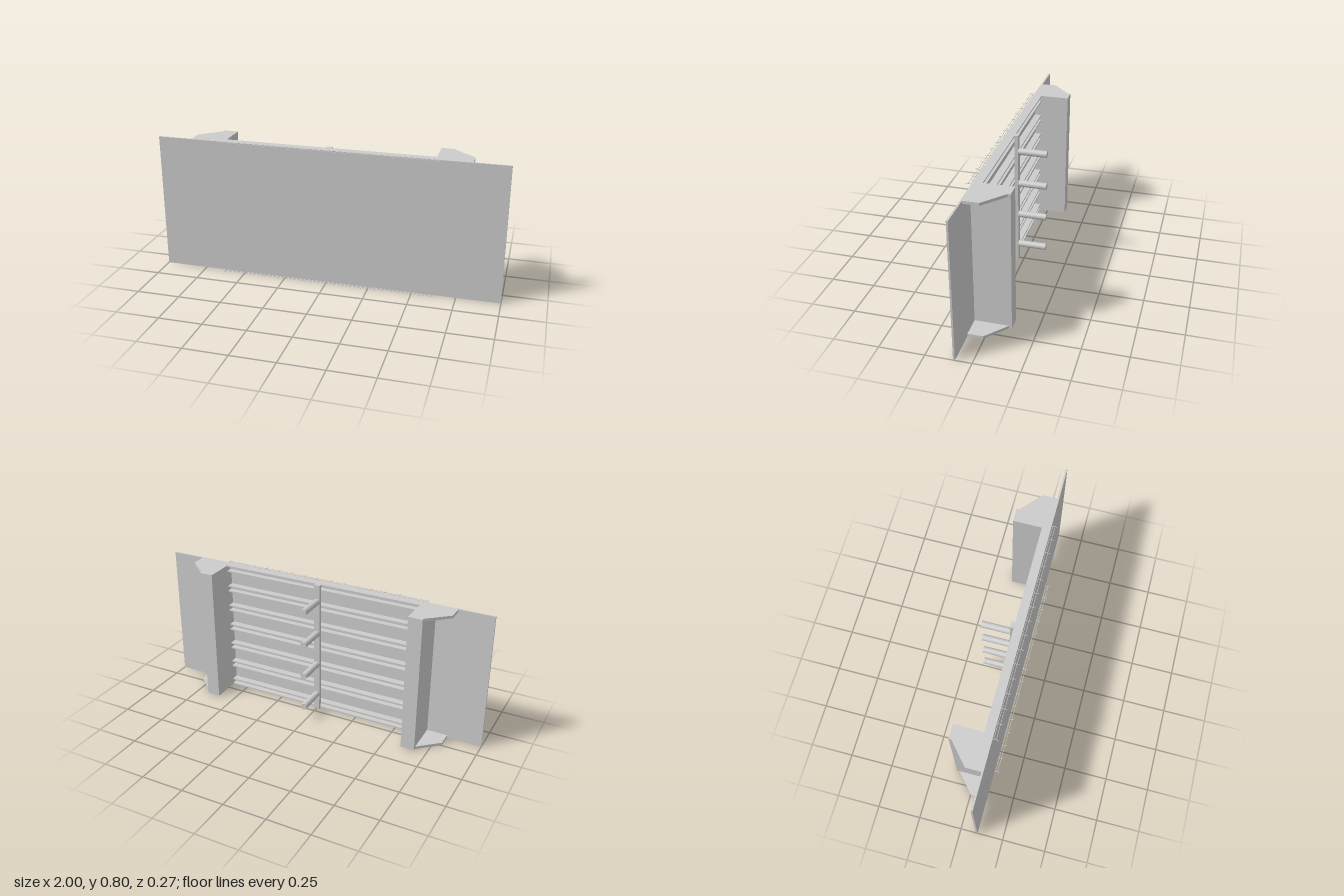
import * as THREE from 'three';

const material = new THREE.MeshStandardMaterial({ color: 0xcccccc });
const H = 0.8;

export function createModel() {
  const model = new THREE.Group();

  function add(name, geometry, x = 0, y = 0, z = 0) {
    const mesh = new THREE.Mesh(geometry, material);
    mesh.name = name;
    mesh.position.set(x, y, z);
    model.add(mesh);
    return mesh;
  }

  // box given by its lower and upper limits
  function box(name, x0, x1, y0, y1, z0, z1) {
    return add(name, new THREE.BoxGeometry(x1 - x0, y1 - y0, z1 - z0),
      (x0 + x1) / 2, (y0 + y1) / 2, (z0 + z1) / 2);
  }

  // front sheet
  box('frontPanel', -1, 1, 0, H, 0.09, 0.1);

  // horizontal channel rails, open to the back
  const railHeight = 0.04, wall = 0.008, railCount = 7;
  const profile = new THREE.Shape([
    [0.09, 0], [0.05, 0], [0.05, wall], [0.09 - wall, wall],
    [0.09 - wall, railHeight - wall], [0.05, railHeight - wall],
    [0.05, railHeight], [0.09, railHeight],
  ].map(([z, y]) => new THREE.Vector2(-z, y)));
  const railGeometry = new THREE.ExtrudeGeometry(profile, { depth: 1.33, bevelEnabled: false });
  railGeometry.rotateY(Math.PI / 2);
  railGeometry.translate(-0.665, 0, 0);
  for (let i = 0; i < railCount; i++) {
    add('rail', railGeometry, 0, i * (H - railHeight) / (railCount - 1), 0);
  }

  // side posts with end gussets
  for (const s of [-1, 1]) {
    box('sidePost', Math.min(s * 0.6, s * 0.68), Math.max(s * 0.6, s * 0.68), 0, H, -0.115, 0.09);
    const outline = new THREE.Shape([
      [0.68, 0.09], [0.8, 0.09], [0.8, 0.005], [0.68, -0.1],
    ].map(([x, z]) => new THREE.Vector2(s * x, -z)));
    const gusset = new THREE.ExtrudeGeometry(outline, { depth: 0.016, bevelEnabled: false });
    gusset.rotateX(-Math.PI / 2);
    for (const y of [0, H - 0.016]) add('gusset', gusset, 0, y, 0);
  }

  // central upright with four pegs
  box('centreBar', -0.018, 0.018, 0, H, 0.03, 0.05);
  const pegGeometry = new THREE.CylinderGeometry(0.019, 0.019, 0.165, 24);
  pegGeometry.rotateX(Math.PI / 2);
  for (const y of [0.1, 0.3, 0.5, 0.7]) add('peg', pegGeometry, 0, y, -0.0505);

  // fine wire ladders along the top and bottom edges
  const t = 0.002;
  for (const y of [0, H - t]) {
    for (const z of [0.105, 0.118]) box('edgeWire', -0.625, 0.625, y, y + t, z, z + t);
    for (let i = 0; i < 16; i++) {
      const x = -0.624 + i * 1.248 / 15;
      box('crossWire', x - t / 2, x + t / 2, y, y + t, 0.1, 0.133);
    }
  }

  return model;
}
